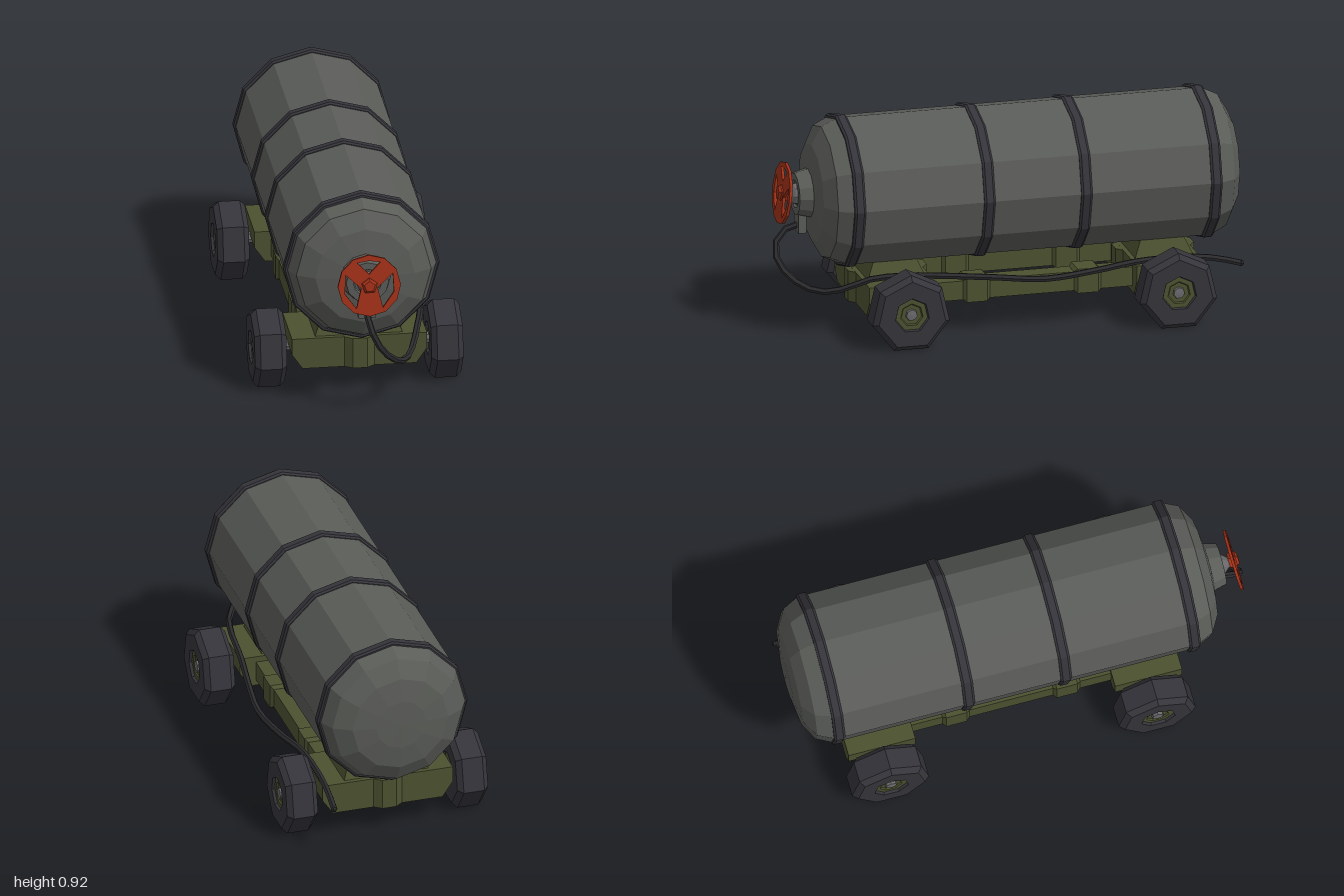
import * as THREE from 'three';

const mat = (color) => new THREE.MeshStandardMaterial({ color, flatShading: true });
const V2 = (pts) => pts.map(([x, y]) => new THREE.Vector2(x, y));

export function createModel() {
  const root = new THREE.Group();
  const steel = mat(0x5a5c58), rubber = mat(0x34343a), green = mat(0x4c5130);
  const red = mat(0xa03018), grey = mat(0x6a6a6c), dark = mat(0x2c2c2f);

  const add = (name, geo, material, parent = root) => {
    const mesh = new THREE.Mesh(geo, material);
    mesh.name = name;
    parent.add(mesh);
    return mesh;
  };
  // Turned shape around the z axis; profile is [radius, z] from back to front
  const turnedZ = (pts, sides) => new THREE.LatheGeometry(V2(pts), sides).rotateX(Math.PI / 2);
  // Turned shape around the x axis with a corner at the top; profile is [radius, x]
  const turnedX = (pts, sides) =>
    new THREE.LatheGeometry(V2(pts), sides, -Math.PI / 2).rotateZ(-Math.PI / 2);
  // Outline in xy, extruded and centred along z
  const slab = (pts, depth) =>
    new THREE.ExtrudeGeometry(new THREE.Shape(V2(pts)), { depth, bevelEnabled: false })
      .translate(0, 0, -depth / 2);

  // Tank with domed ends
  const axisY = 0.587;
  const tank = new THREE.Group();
  tank.name = 'tank';
  tank.position.y = axisY;
  root.add(tank);
  add('tankBody', turnedZ([
    [0, -1], [0.11, -0.997], [0.21, -0.982], [0.285, -0.94], [0.32, -0.87],
    [0.32, 0.7], [0.285, 0.775], [0.21, 0.818], [0.11, 0.833], [0, 0.836],
  ], 12), steel, tank);

  // Straps around the tank
  for (const z of [0.69, 0.13, -0.29, -0.853]) {
    add('strap', turnedZ([
      [0.31, -0.024], [0.323, -0.024], [0.33, -0.015], [0.33, 0.015], [0.323, 0.024], [0.31, 0.024],
    ], 12), rubber, tank).position.z = z;
  }

  // Valve neck, stem and outlet
  add('valveNeck', turnedZ([
    [0.112, 0.82], [0.105, 0.835], [0.09, 0.89], [0.06, 0.89], [0.055, 0.88], [0, 0.88],
  ], 12), steel, tank);
  add('valveStem', turnedZ([
    [0.05, 0.87], [0.045, 0.895], [0.022, 0.92], [0.018, 0.95], [0, 0.95],
  ], 8), grey, tank);
  add('hoseOutlet', new THREE.BoxGeometry(0.075, 0.09, 0.035), steel, tank).position.set(0, -0.12, 0.865);

  // Handwheel: disc with three openings and a hub, tilted back
  const handwheel = new THREE.Group();
  handwheel.name = 'handwheel';
  handwheel.position.set(0, 0.596, 0.943);
  handwheel.rotation.x = -0.13;
  root.add(handwheel);
  const polar = (r, deg) => {
    const a = THREE.MathUtils.degToRad(deg);
    return new THREE.Vector2(r * Math.cos(a), r * Math.sin(a));
  };
  const disc = new THREE.Shape(Array.from({ length: 12 }, (_, i) => polar(0.133, i * 30)));
  for (const [from, to, inner] of [[64, 116, 0.05], [153, 240, 0.036], [-60, 27, 0.036]]) {
    const mid = (from + to) / 2;
    disc.holes.push(new THREE.Path([
      polar(inner, mid), polar(0.112, to), polar(0.108, mid), polar(0.112, from),
    ]));
  }
  add('handwheelDisc', new THREE.ExtrudeGeometry(disc, { depth: 0.012, bevelEnabled: false })
    .translate(0, 0, -0.006), red, handwheel);
  add('handwheelHub', turnedZ([[0, -0.02], [0.035, -0.02], [0.035, 0.012], [0.024, 0.022], [0, 0.022]], 5)
    .rotateZ(Math.PI), red, handwheel);

  // Wheel assembly, outer side towards +x
  const makeWheel = () => {
    const wheel = new THREE.Group();
    wheel.name = 'wheel';
    add('tyre', turnedX([
      [0.07, -0.055], [0.075, -0.0675], [0.148, -0.0675], [0.171, -0.045], [0.171, 0.045],
      [0.148, 0.0675], [0.075, 0.0675], [0.07, 0.055],
    ], 7), rubber, wheel);
    add('wheelHub', turnedX([
      [0, -0.056], [0.073, -0.056], [0.073, 0.056], [0.05, 0.056], [0.045, 0.05], [0, 0.05],
    ], 7), green, wheel);
    add('hubCap', turnedX([[0.028, 0.045], [0.024, 0.06], [0, 0.062]], 7), grey, wheel);
    return wheel;
  };

  // Two axle carriages, each with beam, saddle, axle and wheels
  for (const [name, z] of [['frontCarriage', 0.497], ['rearCarriage', -0.66]]) {
    const carriage = new THREE.Group();
    carriage.name = name;
    carriage.position.z = z;
    root.add(carriage);

    add('axleBeam', slab([
      [-0.24, 0.105], [0.24, 0.105], [0.285, 0.17], [0.285, 0.24], [-0.285, 0.24], [-0.285, 0.17],
    ], 0.29), green, carriage);
    const bulge = slab([
      [-0.03, -0.17], [0.03, -0.17], [0.07, -0.14], [0.07, 0.14],
      [0.03, 0.17], [-0.03, 0.17], [-0.07, 0.14], [-0.07, -0.14],
    ], 0.134).rotateX(Math.PI / 2);
    add('beamCentre', bulge, green, carriage).position.y = 0.1725;

    // Saddle narrows upward into the tank
    const saddle = new THREE.BoxGeometry(0.37, 0.1, 0.25);
    const p = saddle.attributes.position;
    for (let i = 0; i < p.count; i++) {
      if (p.getY(i) > 0) p.setXYZ(i, p.getX(i) * 0.77, p.getY(i), p.getZ(i) * 0.65);
    }
    add('saddle', saddle, green, carriage).position.y = 0.289;

    add('axle', new THREE.CylinderGeometry(0.025, 0.025, 0.62, 8).rotateZ(Math.PI / 2), grey, carriage)
      .position.y = 0.157;
    for (const side of [1, -1]) {
      const wheel = makeWheel();
      wheel.position.set(side * 0.3725, 0.155, 0);
      if (side < 0) wheel.rotation.y = Math.PI;
      carriage.add(wheel);
    }
  }

  // Side rails with chamfered collars
  for (const x of [0.175, -0.175]) {
    add('rail', new THREE.BoxGeometry(0.08, 0.083, 0.92), green).position.set(x, 0.173, -0.08);
    for (const z of [0.16, -0.32]) {
      const collar = new THREE.ExtrudeGeometry(
        new THREE.Shape(V2([[-0.04, -0.04], [0.04, -0.04], [0.04, 0.04], [-0.04, 0.04]])),
        { depth: 0.09, bevelThickness: 0.014, bevelSize: 0.013, bevelSegments: 1 },
      ).translate(0, 0, -0.045);
      add('railCollar', collar, green).position.set(x, 0.175, z);
    }
  }

  // Hose from the outlet, along the left side to the rear
  const hosePath = new THREE.CatmullRomCurve3([
    [0, 0.455, 0.865], [0, 0.425, 0.945], [0.025, 0.355, 0.983], [0.09, 0.265, 0.945],
    [0.165, 0.207, 0.84], [0.21, 0.22, 0.74], [0.245, 0.265, 0.63], [0.275, 0.28, 0.5],
    [0.292, 0.27, 0.32], [0.325, 0.255, 0.1], [0.345, 0.238, -0.1], [0.325, 0.25, -0.33],
    [0.288, 0.262, -0.52], [0.28, 0.262, -0.72], [0.28, 0.247, -0.85], [0.285, 0.217, -0.965],
  ].map((p) => new THREE.Vector3(...p)));
  add('hose', new THREE.TubeGeometry(hosePath, 34, 0.014, 6), dark);
  const tip = hosePath.getPoint(1);
  add('hoseEnd', new THREE.SphereGeometry(0.0145, 6, 4), dark).position.copy(tip);

  return root;
}
